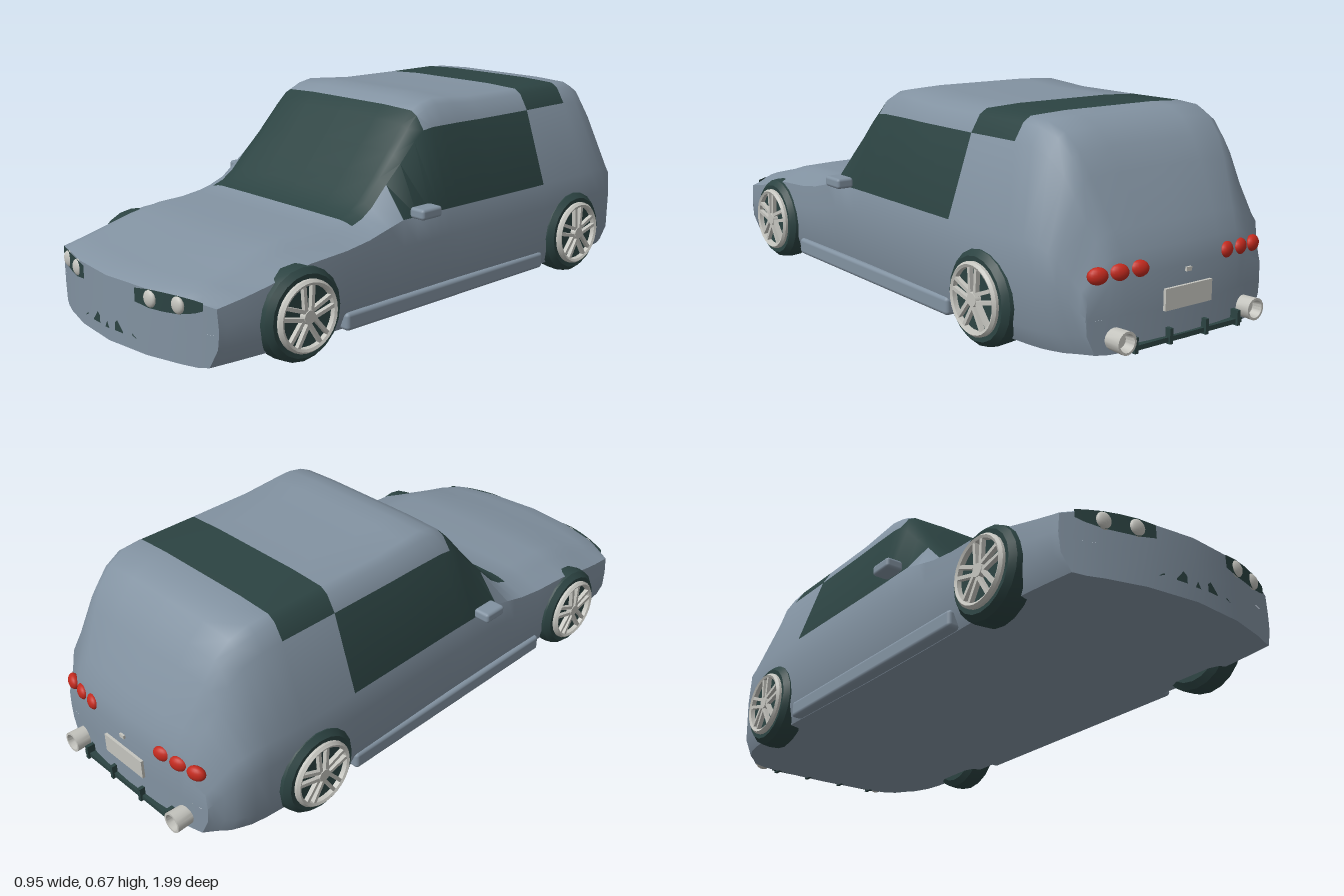
import * as THREE from 'three';
import { toCreasedNormals } from 'three/addons/utils/BufferGeometryUtils.js';
import { RoundedBoxGeometry } from 'three/addons/geometries/RoundedBoxGeometry.js';

function material(name, color, side = THREE.FrontSide) {
  const m = new THREE.MeshStandardMaterial({ color, side });
  m.name = name;
  return m;
}
const paint = material('blue grey paint', 0x8292a1);
const dark = material('dark glass and rubber', 0x2c4342, THREE.DoubleSide);
const metal = material('light metal', 0xc4c4be);
const red = material('red lamp', 0xc22a1e);

function add(parent, name, geometry, mat, x = 0, y = 0, z = 0) {
  const mesh = new THREE.Mesh(geometry, mat);
  mesh.name = name;
  mesh.position.set(x, y, z);
  parent.add(mesh);
  return mesh;
}

// Linear lookup in a table of [z, value]
function at(table, z) {
  let i = 1;
  while (i < table.length - 1 && table[i][0] < z) i++;
  const [z0, a] = table[i - 1], [z1, b] = table[i];
  return a + (b - a) * THREE.MathUtils.clamp((z - z0) / (z1 - z0), 0, 1);
}

// Side profile, half width, shoulder height, drop from roof to glass edge, roof half width
const TOP = [[-0.968, 0.25], [-0.955, 0.31], [-0.93, 0.37], [-0.9, 0.43], [-0.86, 0.505], [-0.82, 0.57],
  [-0.77, 0.62], [-0.71, 0.645], [-0.64, 0.65], [-0.44, 0.65], [-0.2, 0.652], [-0.1, 0.66], [-0.03, 0.665],
  [0.02, 0.655], [0.06, 0.635], [0.1, 0.595], [0.16, 0.52], [0.22, 0.45], [0.28, 0.385], [0.32, 0.355],
  [0.36, 0.338], [0.45, 0.328], [0.6, 0.325], [0.7, 0.31], [0.8, 0.285], [0.9, 0.262], [0.96, 0.25], [0.985, 0.235]];
const WIDTH = [[-0.968, 0.335], [-0.9, 0.385], [-0.8, 0.415], [-0.65, 0.427], [-0.4, 0.427], [0, 0.42],
  [0.3, 0.42], [0.6, 0.425], [0.85, 0.415], [0.985, 0.4]];
const SHOULDER = [[-0.968, 0.2], [-0.9, 0.3], [-0.8, 0.335], [0.22, 0.335], [0.4, 0.29], [0.6, 0.28], [0.985, 0.215]];
const DROP = [[-0.968, 0.02], [-0.9, 0.045], [-0.8, 0.07], [0, 0.075], [0.06, 0.06], [0.22, 0.02], [0.36, 0.01],
  [0.6, 0.018], [0.985, 0.01]];
const ROOF = [[-0.968, 0.27], [-0.85, 0.315], [-0.7, 0.345], [0.985, 0.345]];

// Nose and tail curve back towards the sides
function bow(x, z) {
  const front = THREE.MathUtils.smoothstep(z, 0.5, 0.985) * 0.095 * (x / 0.41) ** 2;
  const rear = THREE.MathUtils.smoothstep(-z, 0.8, 0.968) * 0.03 * (x / 0.32) ** 2;
  return z - front + rear;
}

// Half cross-section from the floor centre, round the side, to the roof centre
function section(z) {
  const top = at(TOP, z), w = at(WIDTH, z), d = at(SHOULDER, z), off = at(DROP, z), r = at(ROOF, z);
  const s = r / 0.345;
  return [[0, 0.04], [0.17 * s, 0.04], [0.29 * s, 0.04], [0.34 * s, 0.04], [w - 0.025, 0.045], [w, 0.1],
    [w + 0.004, d * 0.75], [w, d], [r, Math.min(0.58, top - off)], [r - 0.03, top - 0.3 * off],
    [r - 0.055, top - 0.08 * off], [0.17 * s, top], [0, top]];
}

function bodyGeometry() {
  const zs = TOP.map(p => p[0]);
  const rows = zs.map(z => ({ z, half: section(z) }));
  // End caps close onto a horizontal seam
  const cap = row => ({ z: row.z, half: row.half.map(([x]) => [x, 0.14]) });
  rows.unshift(cap(rows[0]));
  rows.push(cap(rows[rows.length - 1]));
  const pos = [], painted = [], glass = [], n = 25;
  for (const { z, half } of rows) {
    const ring = [...half, ...half.slice(0, 12).reverse().map(([x, y]) => [-x, y])];
    for (const [x, y] of ring) pos.push(x, y, bow(x, z));
  }
  for (let r = 0; r < rows.length - 1; r++) {
    const z = (rows[r].z + rows[r + 1].z) / 2;
    for (let c = 0; c < n - 1; c++) {
      const k = c < 12 ? c : 23 - c;
      const sideWindow = k === 7 && z > -0.44 && z < 0.22;
      const screenOrBand = k >= 8 && ((z > 0.06 && z < 0.36) || (z > -0.64 && z < -0.44));
      const a = r * n + c, b = a + 1, d = a + n, e = d + 1;
      (sideWindow || screenOrBand ? glass : painted).push(a, b, e, a, e, d);
    }
  }
  const g = new THREE.BufferGeometry();
  g.setAttribute('position', new THREE.Float32BufferAttribute(pos, 3));
  g.setIndex([...painted, ...glass]);
  g.addGroup(0, painted.length, 0);
  g.addGroup(painted.length, glass.length, 1);
  return toCreasedNormals(g, 0.75);
}

// Thin plate that follows the nose, from columns of [x, low y, high y]
function nosePlate(columns, side) {
  const pos = [], index = [];
  columns.forEach(([x, lo, hi], i) => {
    const z = bow(x, 0.985) + 0.004;
    pos.push(x * side, lo, z, x * side, hi, z);
    const a = i * 2;
    if (i) index.push(...(side > 0 ? [a - 2, a, a + 1, a - 2, a + 1, a - 1] : [a - 2, a + 1, a, a - 2, a - 1, a + 1]));
  });
  const g = new THREE.BufferGeometry();
  g.setAttribute('position', new THREE.Float32BufferAttribute(pos, 3));
  g.setIndex(index);
  g.computeVertexNormals();
  return g;
}

function lathe(points, segments) {
  const g = new THREE.LatheGeometry(points.map(p => new THREE.Vector2(...p)), segments);
  return toCreasedNormals(g.rotateZ(-Math.PI / 2), 0.6);
}

// Wheel with its outer face towards +x
function makeWheel() {
  const wheel = new THREE.Group();
  add(wheel, 'tyre', lathe([[0, -0.05], [0.12, -0.05], [0.14, -0.035], [0.142, 0], [0.138, 0.028],
    [0.122, 0.045], [0.1, 0.042], [0, 0.04]], 20), dark);
  add(wheel, 'rim', lathe([[0.09, 0.041], [0.107, 0.041], [0.107, 0.052], [0.1, 0.06], [0.092, 0.056], [0.09, 0.041]], 30), metal);
  add(wheel, 'hub', new THREE.CylinderGeometry(0.02, 0.024, 0.018, 15).rotateZ(-Math.PI / 2), metal, 0.049);
  for (let i = 0; i < 5; i++) {
    for (const s of [-1, 1]) {
      const spoke = add(wheel, 'spoke', new THREE.BoxGeometry(0.014, 0.084, 0.011).translate(0, 0.054, s * 0.01), metal, 0.049);
      spoke.rotation.x = i * Math.PI * 0.4 + s * 0.07;
    }
  }
  return wheel;
}

export function createModel() {
  const car = new THREE.Group();
  car.name = 'car';
  add(car, 'body', bodyGeometry(), [paint, dark]);

  for (const s of [-1, 1]) {
    // Wheels
    for (const [name, z] of [['frontWheel', 0.625], ['rearWheel', -0.6]]) {
      const wheel = makeWheel();
      wheel.name = name;
      wheel.position.set(s * 0.405, 0.142, z);
      if (s < 0) wheel.rotation.y = Math.PI;
      car.add(wheel);
    }
    // Sill and door mirror
    add(car, 'sideSkirt', new RoundedBoxGeometry(0.05, 0.055, 0.9, 2, 0.012), paint, s * 0.41, 0.074, 0.01);
    add(car, 'doorMirror', new RoundedBoxGeometry(0.058, 0.034, 0.085, 2, 0.01), paint, s * 0.446, 0.353, 0.15);
    add(car, 'mirrorArm', new THREE.BoxGeometry(0.04, 0.014, 0.03), paint, s * 0.41, 0.345, 0.155);

    // Headlights
    add(car, 'headlightPanel', nosePlate([[0.135, 0.19, 0.23], [0.19, 0.182, 0.236], [0.24, 0.182, 0.237],
      [0.29, 0.184, 0.236], [0.34, 0.195, 0.232], [0.365, 0.205, 0.228]], s), dark);
    for (const x of [0.19, 0.285]) {
      const lamp = add(car, 'headlight', new THREE.SphereGeometry(0.026, 20, 12), metal, s * x, 0.209, bow(x, 0.985));
      lamp.scale.z = 0.5;
    }
    // Lower air slots
    add(car, 'airSlot', nosePlate([[0.04, 0.082, 0.105], [0.052, 0.082, 0.115], [0.078, 0.082, 0.086]], s), dark);
    add(car, 'smallAirSlot', nosePlate([[0.118, 0.086, 0.092], [0.136, 0.08, 0.081]], s), dark);
    add(car, 'middleAirSlot', nosePlate([[0, 0.08, 0.1], [0.01, 0.08, 0.081]], s), dark);

    // Tail lamps and exhausts
    for (const x of [0.17, 0.235, 0.3]) {
      const lamp = add(car, 'tailLamp', new THREE.SphereGeometry(0.03, 18, 12), red, s * x, 0.262 - (x - 0.17) * 0.03, bow(x, -0.96));
      lamp.scale.set(1, 0.8, 0.6);
      lamp.rotation.y = -s * 0.35;
    }
    const pipe = lathe([[0.022, -0.04], [0.03, -0.04], [0.033, 0.04], [0.026, 0.04], [0.022, 0.01], [0, 0.01]], 18);
    add(car, 'exhaust', pipe, metal, s * 0.25, 0.083, -0.96).rotation.y = Math.PI / 2;
    // Diffuser fins
    for (const x of [0.07, 0.2]) {
      add(car, 'diffuserFin', new THREE.BoxGeometry(0.012, 0.045, 0.035), dark, s * x, 0.062, -0.966);
    }
  }
  add(car, 'diffuserBar', new THREE.BoxGeometry(0.44, 0.014, 0.03), dark, 0, 0.052, -0.962);
  add(car, 'rearPlate', new THREE.BoxGeometry(0.18, 0.062, 0.009), metal, 0, 0.165, -0.972);
  add(car, 'hatchHandle', new THREE.BoxGeometry(0.02, 0.012, 0.009), metal, 0, 0.238, -0.97);
  return car;
}
